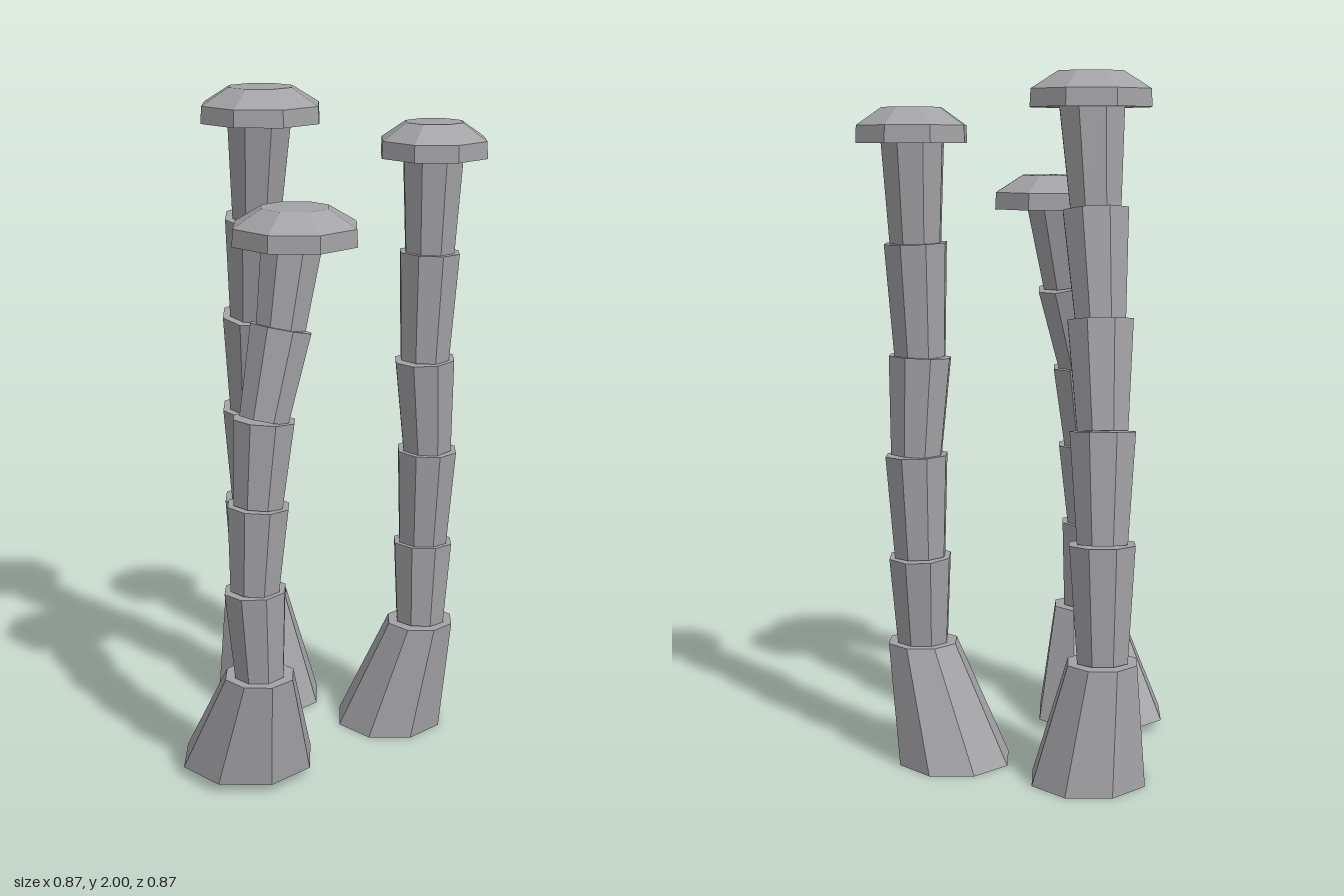
import * as THREE from 'three';

const SIDES = 8;
const UP = new THREE.Vector3(0, 1, 0);

// base: bottom centre, bottom radius; joints: ring centres up the stem; cap: [x, y, z, radius]
const COLUMNS = [
  {
    name: 'tallColumn',
    base: [-0.265, 0, -0.252], baseRadius: 0.173, topRadius: 0.1, footRadius: 0.077,
    joints: [[-0.308, 0.35, -0.255], [-0.299, 0.685, -0.237], [-0.283, 0.998, -0.198],
      [-0.255, 1.305, -0.147], [-0.222, 1.61, -0.103], [-0.2, 1.91, -0.08]],
    cap: [-0.195, 1.895, -0.077, 0.184],
  },
  {
    name: 'frontColumn',
    base: [-0.111, 0.03, 0.233], baseRadius: 0.203, topRadius: 0.093, footRadius: 0.075,
    joints: [[-0.027, 0.35, 0.325], [-0.037, 0.615, 0.329], [-0.029, 0.868, 0.319],
      [-0.02, 1.115, 0.296], [0.007, 1.368, 0.238], [0.025, 1.62, 0.195]],
    cap: [0.029, 1.6, 0.187, 0.187],
  },
  {
    name: 'straightColumn',
    base: [0.158, 0, -0.25], baseRadius: 0.169, topRadius: 0.094, footRadius: 0.077,
    joints: [[0.257, 0.35, -0.255], [0.257, 0.607, -0.268], [0.266, 0.905, -0.267],
      [0.258, 1.19, -0.254], [0.265, 1.515, -0.262], [0.269, 1.81, -0.267]],
    cap: [0.269, 1.795, -0.27, 0.165],
  },
];

export function createModel() {
  const group = new THREE.Group();
  group.name = 'columns';
  const stone = new THREE.MeshStandardMaterial({ color: 0xa2a1a4, flatShading: true });
  stone.name = 'stone grey';

  const add = (parent, name, geometry) => {
    const mesh = new THREE.Mesh(geometry, stone);
    mesh.name = name;
    parent.add(mesh);
    return mesh;
  };

  // Flared foot whose top is shifted sideways from its bottom
  function footGeometry(from, to, r0, r1) {
    const height = to.y - from.y;
    const g = new THREE.CylinderGeometry(r1, r0, height, SIDES);
    const p = g.attributes.position;
    for (let i = 0; i < p.count; i++) {
      const t = p.getY(i) / height + 0.5;
      p.setXYZ(i,
        p.getX(i) + from.x + (to.x - from.x) * t,
        from.y + height * t,
        p.getZ(i) + from.z + (to.z - from.z) * t);
    }
    g.computeVertexNormals();
    return g;
  }

  for (const c of COLUMNS) {
    const column = new THREE.Group();
    column.name = c.name;
    group.add(column);
    const joints = c.joints.map((j) => new THREE.Vector3(...j));

    add(column, 'foot', footGeometry(new THREE.Vector3(...c.base), joints[0], c.baseRadius, 0.105));

    // Stem of stacked segments, each wider at its top
    for (let i = 0; i + 1 < joints.length; i++) {
      const axis = joints[i + 1].clone().sub(joints[i]);
      const length = axis.length();
      const g = new THREE.CylinderGeometry(c.topRadius, c.footRadius, length, SIDES);
      const segment = add(column, `stemSegment${i + 1}`, g);
      segment.position.copy(joints[i]).addScaledVector(axis, 0.5);
      segment.quaternion.setFromUnitVectors(UP, axis.normalize());
    }

    // Faceted cap: flat underside, upright rim, sloping shoulder, flat top
    const [x, y, z, r] = c.cap;
    const profile = [[0, 0], [r, 0], [r * 0.985, 0.05], [r * 0.535, 0.1], [0, 0.102]]
      .map(([px, py]) => new THREE.Vector2(px, py));
    add(column, 'cap', new THREE.LatheGeometry(profile, SIDES)).position.set(x, y, z);
  }
  return group;
}
